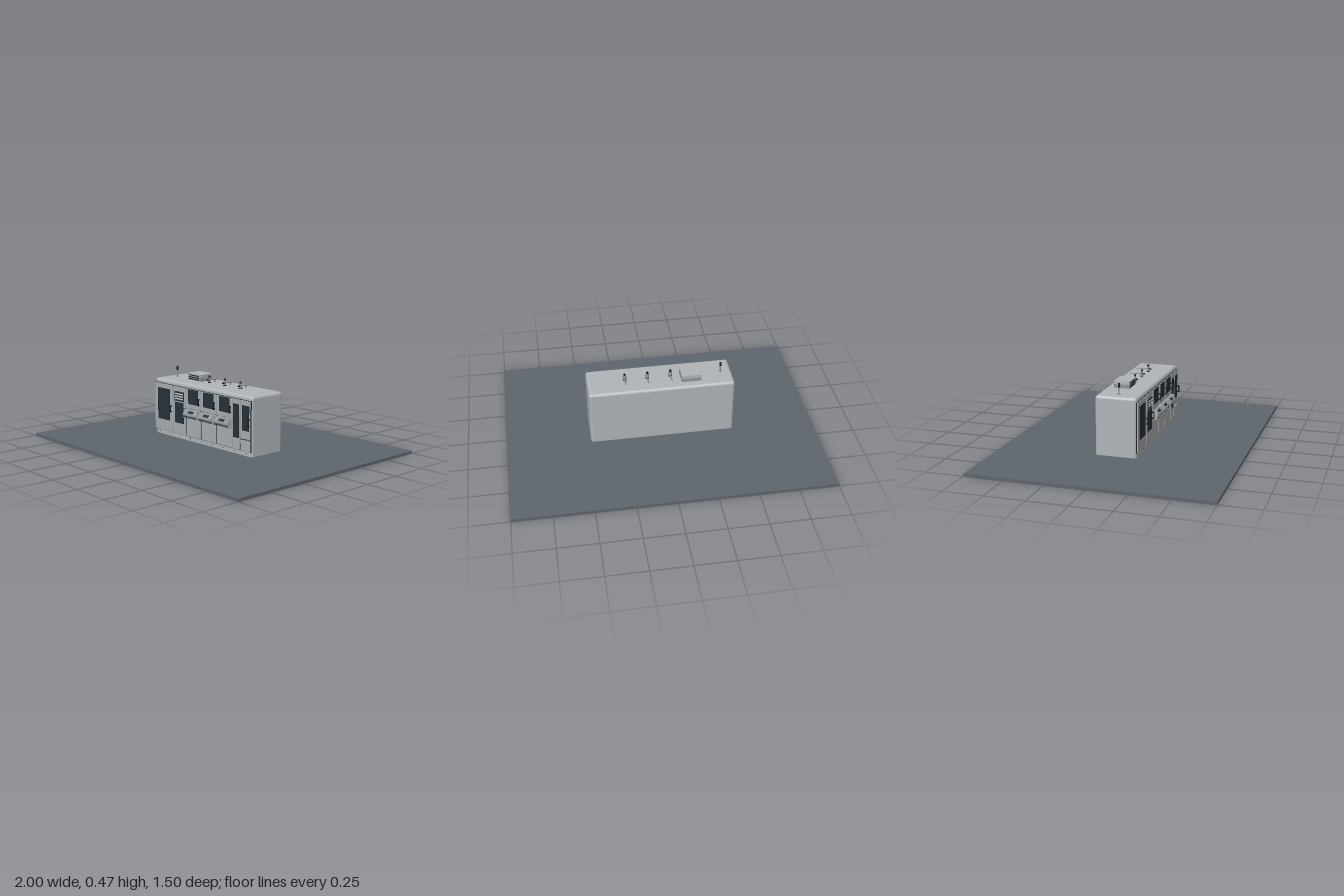
import * as THREE from 'three';
import { RoundedBoxGeometry } from 'three/addons/geometries/RoundedBoxGeometry.js';

const mat = (name, color) => {
  const m = new THREE.MeshStandardMaterial({ color });
  m.name = name;
  return m;
};

export function createModel() {
  const root = new THREE.Group();
  const M = {
    floor: mat('floor grey', 0x5f656d),
    body: mat('housing grey', 0xb0b5b8),
    panel: mat('panel grey', 0xa9aeb1),
    console: mat('console grey', 0x8f9598),
    glass: mat('dark glass', 0x27313a),
    black: mat('black trim', 0x1d2023),
    light: mat('light slat', 0xc9cdcf),
  };

  const add = (name, geo, material, parent = root) => {
    const mesh = new THREE.Mesh(geo, material);
    mesh.name = name;
    parent.add(mesh);
    return mesh;
  };
  // Box given by its limits on each axis
  const box = (name, m, x0, x1, y0, y1, z0, z1, parent) => {
    const mesh = add(name, new THREE.BoxGeometry(x1 - x0, y1 - y0, z1 - z0), m, parent);
    mesh.position.set((x0 + x1) / 2, (y0 + y1) / 2, (z0 + z1) / 2);
    return mesh;
  };
  const cyl = (name, m, r, h, x, y, z, parent, rTop = r) => {
    const mesh = add(name, new THREE.CylinderGeometry(rTop, r, h, 16), m, parent);
    mesh.position.set(x, y, z);
    return mesh;
  };
  const group = (name) => {
    const g = new THREE.Group();
    g.name = name;
    root.add(g);
    return g;
  };

  box('floorSlab', M.floor, -1, 1, 0, 0.017, -0.75, 0.75);

  // Housing: rounded above, cut flat at the bottom
  const bottom = 0.023, top = 0.398, r = 0.019, F = 0.133;
  const shell = new RoundedBoxGeometry(0.93, top - bottom + r, 0.264, 5, r);
  shell.translate(-0.002, (top + bottom - r) / 2, 0.001);
  const p = shell.attributes.position;
  for (let i = 0; i < p.count; i++) p.setY(i, Math.max(p.getY(i), bottom));
  add('housing', shell, M.body);
  for (const x of [-0.42, 0.42]) for (const z of [-0.1, 0.1]) cyl('foot', M.black, 0.012, 0.008, x, 0.02, z);

  // Front doors with thin glass and a bar handle
  const handle = (x, y0, y1, z, parent) => {
    box('handleBar', M.black, x - 0.004, x + 0.004, y0, y1, z + 0.008, z + 0.015, parent);
    for (const y of [y0 + 0.005, y1 - 0.005])
      box('handleMount', M.black, x - 0.003, x + 0.003, y - 0.004, y + 0.004, z, z + 0.009, parent);
  };
  const D = F + 0.007;
  const door = (name, [x0, x1, y0, y1], glass, grip) => {
    const g = group(name);
    box('gap', M.black, x0 - 0.003, x1 + 0.003, y0 - 0.003, y1 + 0.003, F - 0.004, F + 0.0015, g);
    box('doorPanel', M.panel, x0, x1, y0, y1, F - 0.004, D, g);
    if (glass) {
      const [a, b, c, d] = glass;
      box('windowSeal', M.black, a - 0.003, b + 0.003, c - 0.003, d + 0.003, D - 0.002, D + 0.001, g);
      box('window', M.glass, a, b, c, d, D - 0.002, D + 0.002, g);
    }
    if (grip) handle(grip[0], grip[1], grip[2], D, g);
    return g;
  };
  door('leftDoor', [-0.461, -0.277, 0.055, 0.368], [-0.428, -0.309, 0.13, 0.335], [-0.289, 0.187, 0.235]);
  const ventDoor = door('ventDoor', [-0.27, -0.148, 0.055, 0.368], [-0.252, -0.168, 0.13, 0.262], [-0.155, 0.187, 0.235]);
  door('narrowDoor', [0.301, 0.365, 0.055, 0.368], [0.309, 0.355, 0.13, 0.335]);
  door('rightDoor', [0.373, 0.455, 0.13, 0.368], [0.389, 0.445, 0.185, 0.335], [0.45, 0.21, 0.26]);
  door('rightLowerPanel', [0.373, 0.455, 0.055, 0.122]);

  // Slatted vent above the window of the second door
  box('ventRecess', M.glass, -0.254, -0.163, 0.273, 0.337, D - 0.002, D + 0.002, ventDoor);
  for (let i = 0; i < 3; i++)
    box('ventSlat', M.light, -0.246, -0.171, 0.285 + i * 0.016, 0.293 + i * 0.016, D, D + 0.006, ventDoor);

  // Sloped operator console, extruded across its bay
  const profile = new THREE.Shape([
    [F - 0.003, 0.18], [0.16, 0.18], [0.176, 0.2], [0.174, 0.21], [0.15, 0.232], [F - 0.003, 0.235],
  ].map(([z, y]) => new THREE.Vector2(z, y)));
  const consoleGeo = new THREE.ExtrudeGeometry(profile, { depth: 0.128, bevelEnabled: false });
  consoleGeo.rotateY(-Math.PI / 2).translate(0.064, 0, 0);

  // Three equal work bays
  for (let i = 0; i < 3; i++) {
    const x0 = -0.14 + i * 0.147, x1 = x0 + 0.14, c = (x0 + x1) / 2;
    const g = door('bay', [x0, x1, 0.24, 0.368], [c - 0.045, c + 0.045, 0.273, 0.363], [c + 0.061, 0.272, 0.318]);
    box('lowerGap', M.black, x0 - 0.003, x1 + 0.003, 0.052, 0.24, F - 0.004, F + 0.0015, g);
    box('lowerPanel', M.panel, x0, x1, 0.055, 0.237, F - 0.004, F + 0.005, g);
    add('console', consoleGeo, M.console, g).position.x = c;
    for (const s of [-1, 1]) box('consoleCheek', M.panel, c + s * 0.065 - 0.002, c + s * 0.065 + 0.002, 0.178, 0.236, F, 0.166, g);
    // Buttons on the console lip
    for (const dx of [-0.052, -0.044, -0.036, 0.05])
      box('button', M.black, c + dx - 0.002, c + dx + 0.002, 0.186, 0.191, 0.16, 0.17, g);
    box('consoleDisplay', M.glass, -0.024, 0.024, -0.009, 0.009, -0.0015, 0.0015, g);
    const display = g.children[g.children.length - 1];
    display.position.set(c, 0.2215, 0.1625);
    display.rotation.x = -0.83;
  }
  // Screws along the kick strip
  for (let i = 0; i < 9; i++) {
    const screw = cyl('kickScrew', M.black, 0.003, 0.004, -0.42 + i * 0.105, 0.04, F);
    screw.rotation.x = Math.PI / 2;
  }

  // Roof ventilation unit
  const vent = group('roofVent');
  box('ventBase', M.console, -0.257, -0.132, 0.396, 0.42, -0.079, 0.023, vent);
  box('ventCover', M.body, -0.257, -0.132, 0.421, 0.443, -0.079, 0.023, vent);
  box('ventSeam', M.black, -0.255, -0.134, 0.419, 0.422, -0.077, 0.021, vent);
  for (let i = 0; i < 3; i++)
    box('louver', M.black, -0.243, -0.146, 0.405 + i * 0.012, 0.411 + i * 0.012, 0.02, 0.026, vent);
  box('ventPort', M.console, -0.134, -0.13, 0.428, 0.438, -0.045, -0.033, vent);

  // Signal mast
  const mast = group('signalMast');
  cyl('mastFoot', M.console, 0.009, 0.006, -0.395, 0.4, 0, mast);
  cyl('mastPole', M.console, 0.004, 0.05, -0.395, 0.42, 0, mast);
  cyl('mastLamp', M.black, 0.006, 0.026, -0.395, 0.454, 0, mast);

  // Roof valves with a pipe running back
  for (const x of [-0.07, 0.078, 0.223]) {
    const v = group('roofValve');
    cyl('valveFlange', M.black, 0.011, 0.006, x, 0.4, 0, v);
    cyl('valveBody', M.console, 0.009, 0.026, x, 0.414, 0, v, 0.007);
    cyl('valveStem', M.console, 0.004, 0.012, x, 0.43, 0, v);
    cyl('valveCap', M.black, 0.007, 0.009, x, 0.439, 0, v);
    cyl('pipe', M.console, 0.003, 0.09, x, 0.416, -0.035, v).rotation.x = Math.PI / 2;
    cyl('pipeCollar', M.console, 0.006, 0.014, x, 0.416, -0.045, v).rotation.x = Math.PI / 2;
    box('pipeBracket', M.console, x - 0.003, x + 0.003, 0.396, 0.416, -0.049, -0.041, v);
    cyl('valveNozzle', M.black, 0.005, 0.014, x, 0.416, 0.013, v).rotation.x = Math.PI / 2;
    box('valveLever', M.black, x - 0.011, x + 0.011, 0.42, 0.424, -0.003, 0.003, v);
  }
  return root;
}
